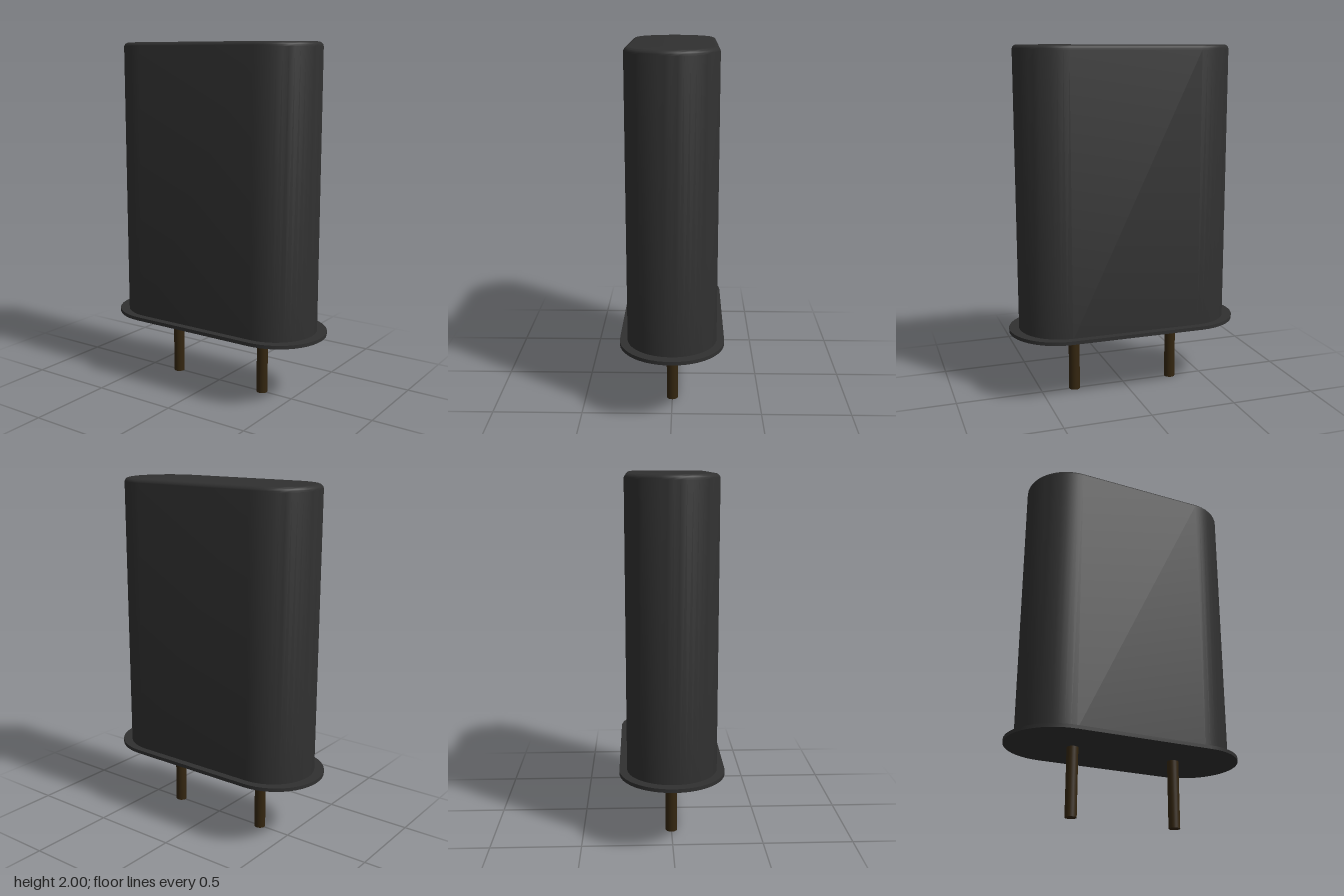
import * as THREE from 'three';
import { toCreasedNormals } from 'three/addons/utils/BufferGeometryUtils.js';

// Stacks stadium-shaped rings; profile holds [end radius, height], c is the end-arc centre.
function stadiumLoft(c, profile, arcSteps = 24) {
  const pos = [], index = [];
  const n = 2 * (arcSteps + 1);
  for (const [r, y] of profile) {
    for (const side of [1, -1]) {
      for (let k = 0; k <= arcSteps; k++) {
        const a = -Math.PI / 2 + (Math.PI * k) / arcSteps;
        pos.push(side * (c + r * Math.cos(a)), y, side * r * Math.sin(a));
      }
    }
  }
  for (let j = 0; j < profile.length - 1; j++) {
    for (let i = 0; i < n; i++) {
      const a = j * n + i, b = j * n + ((i + 1) % n);
      index.push(a, a + n, b, b, a + n, b + n);
    }
  }
  const g = new THREE.BufferGeometry();
  g.setAttribute('position', new THREE.Float32BufferAttribute(pos, 3));
  g.setIndex(index);
  return toCreasedNormals(g, 0.7);
}

export function createModel() {
  const model = new THREE.Group();
  model.name = 'crystalComponent';
  const casing = new THREE.MeshStandardMaterial({ color: 0x303030 });
  casing.name = 'dark casing';
  const pinMetal = new THREE.MeshStandardMaterial({ color: 0x33250f });
  pinMetal.name = 'dark bronze';

  const add = (name, geometry, material) => {
    const mesh = new THREE.Mesh(geometry, material);
    mesh.name = name;
    model.add(mesh);
    return mesh;
  };

  // Can with a rounded top edge
  const R = 0.248, bevel = 0.027;
  const profile = [[R, 0.39]];
  for (let k = 0; k <= 6; k++) {
    const a = (Math.PI / 2) * (k / 6);
    profile.push([R - bevel + bevel * Math.cos(a), 2 - bevel + bevel * Math.sin(a)]);
  }
  profile.push([0, 2]);
  add('can', stadiumLoft(0.375, profile), casing);

  // Thin base flange
  add('baseFlange', stadiumLoft(0.39, [[0, 0.38], [0.29, 0.38], [0.29, 0.4], [0, 0.4]]), casing);

  // Two round pins
  for (const [name, x] of [['leftPin', 0.303], ['rightPin', -0.303]]) {
    add(name, new THREE.CylinderGeometry(0.032, 0.032, 0.385, 24), pinMetal).position.set(x, 0.1925, 0);
  }
  return model;
}
